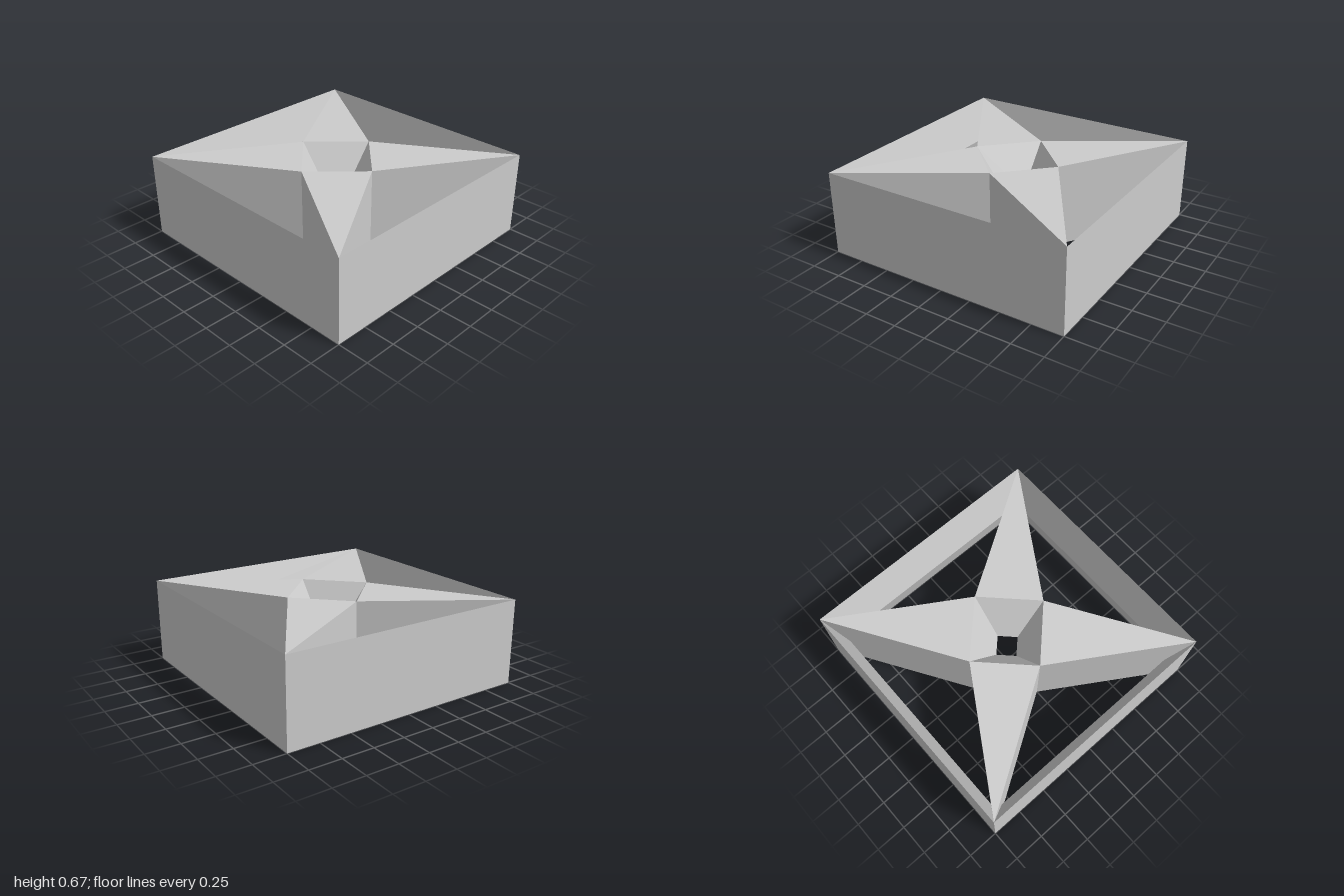
import * as THREE from 'three';

const H = 0.67, M = H / 2;  // full height and mid height
const CREST = 0.905;        // inner crest of the frame walls
const R = 0.37, W = 0.112;  // star notch radius and waist of the centre hole

// Flat-sided geometry from triangles and quads, corners counter-clockwise
function facets(faces) {
  const pos = [];
  for (const f of faces) {
    for (let i = 1; i < f.length - 1; i++) pos.push(...f[0], ...f[i], ...f[i + 1]);
  }
  const g = new THREE.BufferGeometry();
  g.setAttribute('position', new THREE.Float32BufferAttribute(pos, 3));
  g.computeVertexNormals();
  return g;
}

// Frame side: upright outer face, inner faces sloping to a mid-height crest
function wallGeometry() {
  const bl = [-1, 0, 1], br = [1, 0, 1], tl = [-1, H, 1], tr = [1, H, 1];
  const cl = [-CREST, M, CREST], cr = [CREST, M, CREST];
  return facets([
    [bl, br, tr, tl],
    [tl, tr, cr, cl],
    [bl, cl, cr, br],
  ]);
}

// Star arm: upright wedge from a corner to one flank of the waisted centre hole
function armGeometry() {
  const c = y => [1, y, 1], a = y => [R, y, 0], b = y => [0, y, R];
  const wa = [W, M, 0], wb = [0, M, W];
  return facets([
    [c(H), a(H), b(H)],
    [c(0), b(0), a(0)],
    [c(0), a(0), a(H), c(H)],
    [b(0), c(0), c(H), b(H)],
    [a(H), wa, wb, b(H)],
    [a(0), b(0), wb, wa],
  ]);
}

export function createModel() {
  const model = new THREE.Group();
  model.name = 'starFrameBlock';
  const grey = new THREE.MeshStandardMaterial({ color: 0xcccccc });
  grey.name = 'lightGrey';

  const parts = { frameWall: wallGeometry(), starArm: armGeometry() };
  for (const [name, geometry] of Object.entries(parts)) {
    for (let i = 0; i < 4; i++) {
      const mesh = new THREE.Mesh(geometry, grey);
      mesh.name = name + (i + 1);
      mesh.rotation.y = i * Math.PI / 2;
      model.add(mesh);
    }
  }
  return model;
}
